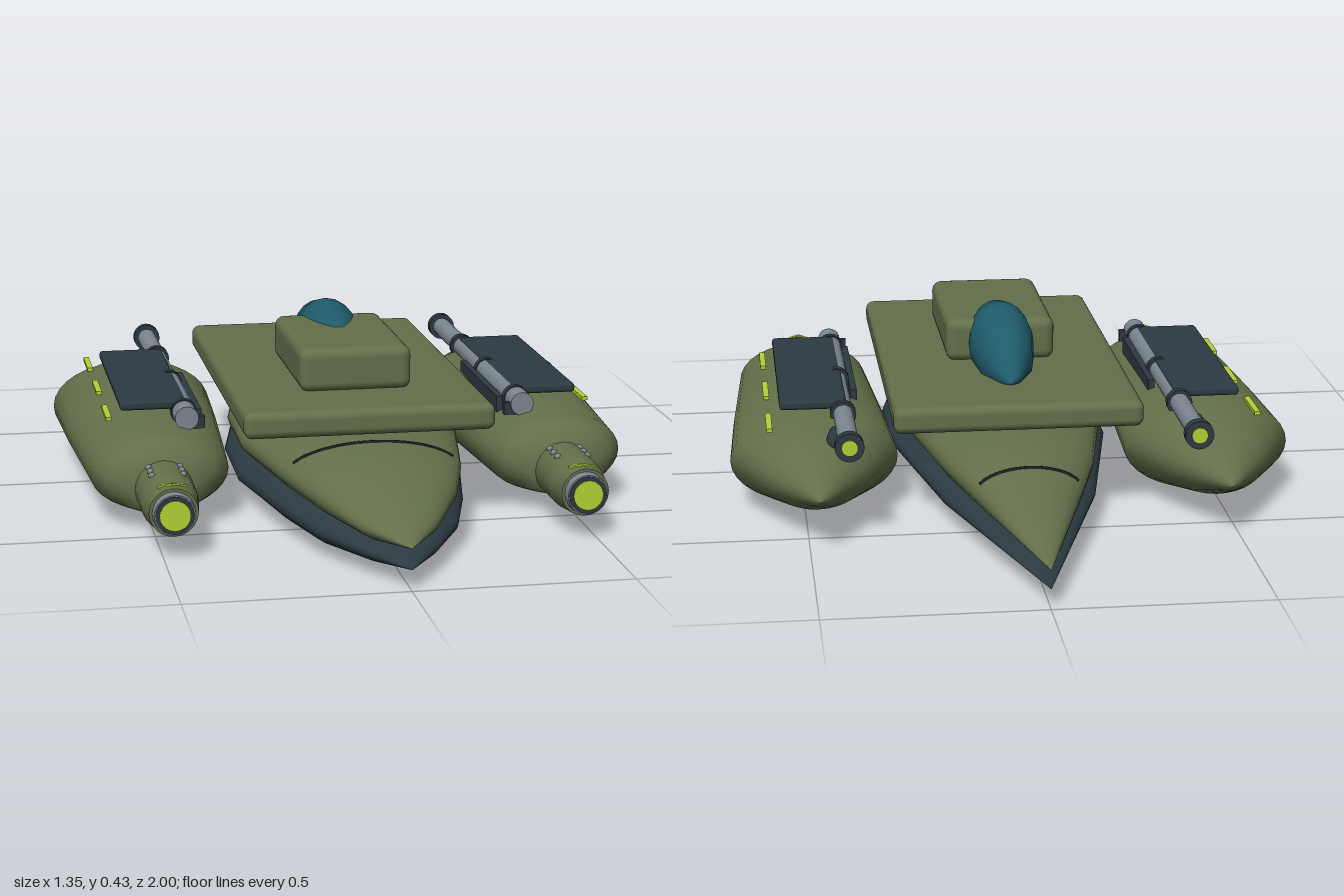
import * as THREE from 'three';
import { RoundedBoxGeometry } from 'three/addons/geometries/RoundedBoxGeometry.js';

const mat = (name, color) => {
  const m = new THREE.MeshStandardMaterial({ color });
  m.name = name;
  return m;
};

// Elliptical sections [z, half width, centre y, half height], z ascending
const UPPER = [[-1, 0, 0.095, 0], [-0.62, 0.125, 0.138, 0.062], [-0.45, 0.175, 0.148, 0.074],
  [0, 0.262, 0.153, 0.08], [0.25, 0.265, 0.153, 0.08], [0.54, 0.212, 0.15, 0.076],
  [0.72, 0.162, 0.14, 0.064], [0.87, 0.085, 0.112, 0.036], [1, 0, 0.1, 0]];
const LOWER = [[-1, 0, 0.052, 0], [-0.45, 0.18, 0.068, 0.048], [0, 0.27, 0.073, 0.062],
  [0.25, 0.275, 0.073, 0.068], [0.54, 0.217, 0.07, 0.064], [0.72, 0.165, 0.064, 0.052],
  [0.87, 0.085, 0.058, 0.03], [1, 0, 0.053, 0]];
const POD = [[-0.62, 0, 0.135, 0], [-0.6, 0.02, 0.135, 0.017], [-0.45, 0.112, 0.133, 0.075],
  [-0.285, 0.2, 0.13, 0.114], [0, 0.187, 0.13, 0.11], [0.38, 0.163, 0.13, 0.098],
  [0.43, 0.13, 0.125, 0.085], [0.475, 0.068, 0.112, 0.062], [0.48, 0, 0.11, 0]];
const CANOPY = [[-0.292, 0, 0.3, 0], [-0.27, 0.025, 0.305, 0.02], [-0.18, 0.066, 0.325, 0.083],
  [-0.08, 0.08, 0.338, 0.094], [-0.03, 0.078, 0.34, 0.096], [0.04, 0.064, 0.34, 0.08],
  [0.11, 0.035, 0.34, 0.06], [0.13, 0, 0.34, 0]];

// Skin over a row of elliptical sections
function loft(sections, sides = 32) {
  const pos = [], index = [];
  for (const [z, rx, cy, ry] of sections)
    for (let j = 0; j < sides; j++) {
      const a = (j / sides) * Math.PI * 2;
      pos.push(rx * Math.cos(a), cy + ry * Math.sin(a), z);
    }
  for (let i = 0; i < sections.length - 1; i++)
    for (let j = 0; j < sides; j++) {
      const k = (j + 1) % sides;
      const a = i * sides + j, b = i * sides + k, c = a + sides, d = b + sides;
      if (sections[i][1] > 0) index.push(a, b, c);
      if (sections[i + 1][1] > 0) index.push(b, d, c);
      if (sections[i][1] === 0) index.push(a, d, c);
      if (sections[i + 1][1] === 0) index.push(a, b, c);
    }
  const g = new THREE.BufferGeometry();
  g.setAttribute('position', new THREE.Float32BufferAttribute(pos, 3));
  g.setIndex(index);
  g.computeVertexNormals();
  return g;
}

// Section of a loft at any z
function sectionAt(sections, z) {
  const i = sections.findIndex((s) => s[0] >= z);
  const a = sections[i - 1], b = sections[i], t = (z - a[0]) / (b[0] - a[0]);
  return a.map((v, k) => v + (b[k] - v) * t);
}

// Cylinder along z between two stations
function rod(rBack, rFront, z0, z1, sides = 20) {
  return new THREE.CylinderGeometry(rFront, rBack, z1 - z0, sides)
    .rotateX(Math.PI / 2).translate(0, 0, (z0 + z1) / 2);
}

export function createModel() {
  const olive = mat('olive armour', 0x63704a);
  const navy = mat('dark slate', 0x2c3a42);
  const teal = mat('teal glass', 0x1f5b6b);
  const steel = mat('steel', 0x7c8791);
  const lime = mat('lime light', 0xb2d235);
  const black = mat('seam black', 0x1b2226);

  const model = new THREE.Group();
  const add = (parent, name, geo, material, x = 0, y = 0, z = 0) => {
    const m = new THREE.Mesh(geo, material);
    m.name = name;
    m.position.set(x, y, z);
    parent.add(m);
    return m;
  };

  // Central hull
  const hull = new THREE.Group();
  hull.name = 'hull';
  model.add(hull);
  add(hull, 'upperHull', loft(UPPER), olive);
  add(hull, 'lowerHull', loft(LOWER), navy);

  // Panel seams across the upper hull
  for (const z of [-0.62, 0.56]) {
    const [, rx, cy, ry] = sectionAt(UPPER, z);
    const pts = [];
    for (let i = 0; i <= 16; i++) {
      const a = Math.PI * (0.14 + 0.72 * i / 16);
      pts.push(new THREE.Vector3(rx * Math.cos(a), cy + ry * Math.sin(a), z));
    }
    add(hull, 'hullSeam', new THREE.TubeGeometry(new THREE.CatmullRomCurve3(pts), 32, 0.004, 6), black);
  }

  // Deck, cabin and canopy
  add(model, 'deck', new RoundedBoxGeometry(0.59, 0.063, 0.995, 3, 0.02), olive, 0, 0.264, 0.043);
  add(model, 'cabin', new RoundedBoxGeometry(0.268, 0.106, 0.415, 3, 0.024), olive, 0, 0.344, 0.142);
  add(model, 'canopy', loft(CANOPY, 20), teal);

  // Side pods
  for (const s of [1, -1]) {
    const pod = new THREE.Group();
    pod.name = s > 0 ? 'leftPod' : 'rightPod';
    pod.position.x = s * 0.475;
    model.add(pod);
    add(pod, 'podBody', loft(POD), olive);

    // Nozzle with glowing end
    add(pod, 'nozzleBody', rod(0.068, 0.066, 0.45, 0.59), olive, 0, 0.11);
    add(pod, 'nozzleTaper', rod(0.066, 0.056, 0.59, 0.67), olive, 0, 0.11);
    add(pod, 'nozzleRing', rod(0.05, 0.047, 0.66, 0.693), steel, 0, 0.11);
    add(pod, 'nozzleCollar', rod(0.044, 0.044, 0.685, 0.696), navy, 0, 0.11);
    add(pod, 'nozzleGlow', rod(0.035, 0.035, 0.69, 0.699), lime, 0, 0.11);
    for (const side of [-1, 1]) {
      for (const z of [0.485, 0.52, 0.555])
        add(pod, 'rivet', new THREE.SphereGeometry(0.008, 8, 6), steel, side * 0.036, 0.166, z);
      const mark = add(pod, 'nozzleChevron', new THREE.BoxGeometry(0.034, 0.008, 0.009), lime, side * 0.016, 0.165, 0.642);
      mark.rotation.set(0, side * 0.4, -side * 0.25);
    }

    // Light strips along the outer shoulder
    for (const z of [-0.312, -0.052, 0.21])
      add(pod, 'lightStrip', new THREE.BoxGeometry(0.014, 0.009, 0.125), lime, s * 0.107, 0.231, z);

    // Top panel on two supports
    add(pod, 'topPanel', new RoundedBoxGeometry(0.16, 0.022, 0.565, 2, 0.008), navy, 0, 0.261, -0.003);
    for (const z of [-0.17, 0.16])
      add(pod, 'panelSupport', new THREE.BoxGeometry(0.1, 0.05, 0.05), navy, 0, 0.23, z);

    // Long barrel on the inner side
    const barrel = new THREE.Group();
    barrel.name = 'barrel';
    barrel.position.set(-s * 0.07, 0.244, 0);
    pod.add(barrel);
    add(barrel, 'barrelTube', rod(0.024, 0.024, -0.55, -0.02), steel);
    add(barrel, 'barrelBreech', rod(0.028, 0.028, -0.02, 0.35), steel);
    add(barrel, 'muzzle', rod(0.034, 0.034, -0.565, -0.54), navy);
    add(barrel, 'muzzleGlow', rod(0.019, 0.019, -0.569, -0.56), lime);
    for (const z of [-0.3, -0.02, 0.28])
      add(barrel, 'barrelBand', rod(0.031, 0.031, z - 0.01, z + 0.01), navy);
    add(barrel, 'breechClamp', new THREE.BoxGeometry(0.05, 0.03, 0.016), navy, -s * 0.018, -0.012, 0.335);
    add(barrel, 'sideRail', new THREE.BoxGeometry(0.016, 0.04, 0.39), navy, -s * 0.036, -0.018, 0.075);
    const mount = add(barrel, 'barrelMount', new THREE.SphereGeometry(0.03, 12, 8), navy, s * 0.022, -0.035, -0.41);
    mount.scale.set(0.8, 1.3, 1.2);
  }
  return model;
}
